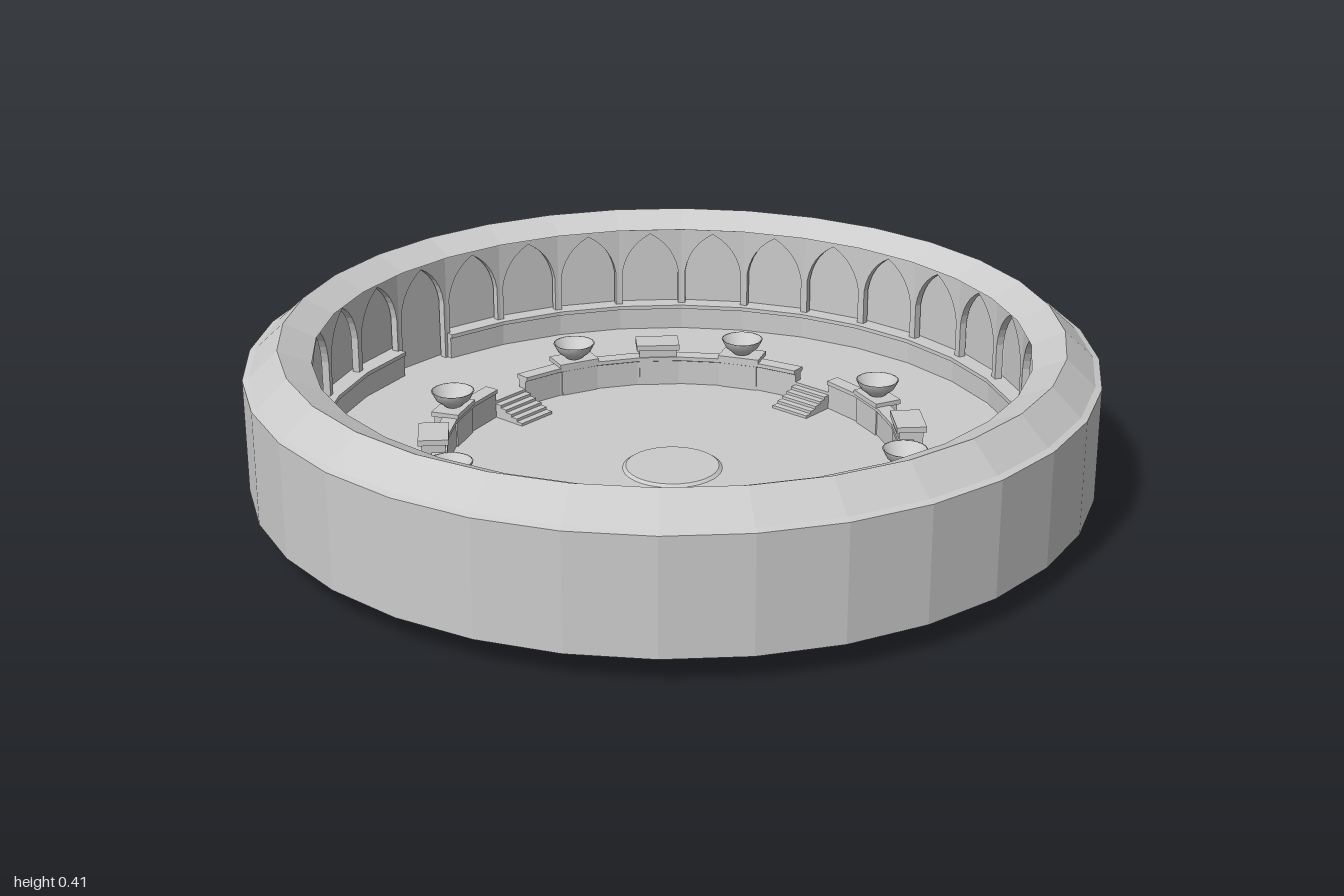
import * as THREE from 'three';

const SIDES = 32;
const STEP = (Math.PI * 2) / SIDES;
const flat = new THREE.MeshStandardMaterial({ color: 0xcccccc, flatShading: true });
const flatBoth = new THREE.MeshStandardMaterial({ color: 0xcccccc, flatShading: true, side: THREE.DoubleSide });
const smooth = new THREE.MeshStandardMaterial({ color: 0xcccccc });

const points = (list) => list.map(([r, y]) => new THREE.Vector2(r, y));

function add(parent, name, geometry, material = flat) {
  const mesh = new THREE.Mesh(geometry, material);
  mesh.name = name;
  parent.add(mesh);
  return mesh;
}

// Capped ring sector: closed counterclockwise (radius, height) section swept over some sides
function ringSector(parent, name, section, firstSide, sides) {
  const group = new THREE.Group();
  group.name = name;
  const start = firstSide * STEP;
  add(group, name + 'Body', new THREE.LatheGeometry(points([...section, section[0]]), sides, start, sides * STEP));
  for (const angle of [start, start + sides * STEP]) {
    const cap = add(group, name + 'End', new THREE.ShapeGeometry(new THREE.Shape(points(section))), flatBoth);
    cap.rotation.y = angle - Math.PI / 2;
  }
  parent.add(group);
}

// Group at an angle around the centre; its local +z points outwards
function spoke(parent, name, angle) {
  const group = new THREE.Group();
  group.name = name;
  group.rotation.y = angle;
  parent.add(group);
  return group;
}

function box(parent, name, w, h, d, y, z) {
  const mesh = add(parent, name, new THREE.BoxGeometry(w, h, d));
  mesh.position.set(0, y + h / 2, z);
}

// One wall panel with a pointed arch cut out, open at the bottom
function archPanel(bottom) {
  const r = 0.858, top = 0.374, spring = 0.25, apex = 0.357;
  const w = r * Math.sin(STEP / 2), a = w - 0.009;
  const s = new THREE.Shape();
  s.moveTo(-w, bottom);
  s.lineTo(-a, bottom);
  s.lineTo(-a, spring);
  s.quadraticCurveTo(-a * 0.85, apex - 0.035, 0, apex);
  s.quadraticCurveTo(a * 0.85, apex - 0.035, a, spring);
  s.lineTo(a, bottom);
  s.lineTo(w, bottom);
  s.lineTo(w, top);
  s.lineTo(-w, top);
  const g = new THREE.ExtrudeGeometry(s, { depth: 0.018, bevelEnabled: false, curveSegments: 6 });
  return g.translate(0, 0, r * Math.cos(STEP / 2));
}

export function createModel() {
  const model = new THREE.Group();
  model.name = 'arena';

  // Base, outer wall, sloped rim, terrace and sunken floor in one section
  add(model, 'arenaShell', new THREE.LatheGeometry(points([
    [0, 0.045], [0.54, 0.045], [0.54, 0.088], [0.57, 0.088], [0.57, 0.065],
    [0.84, 0.065], [0.84, 0.088], [0.87, 0.088], [0.87, 0.065],
    [1, 0.065], [1, 0.34], [0.985, 0.345], [0.917, 0.408], [0.84, 0.373],
    [0.885, 0.373], [0.885, 0.093], [0.545, 0.093], [0.545, 0.05], [0, 0.05],
  ]), SIDES));

  // Arcade around the inner wall; the two doorways reach the terrace
  const doors = [8, 24];
  const panel = archPanel(0.158), doorPanel = archPanel(0.093);
  for (let i = 0; i < SIDES; i++) {
    const bay = spoke(model, 'arcadeBay', (i + 0.5) * STEP);
    add(bay, 'archPanel', doors.includes(i) ? doorPanel : panel);
  }

  // Ledge below the arcade, broken at the doorways
  const ledge = [[0.845, 0.09], [0.886, 0.09], [0.886, 0.16], [0.838, 0.16], [0.838, 0.15], [0.845, 0.15]];
  const filler = [[0.838, 0.065], [0.872, 0.065], [0.872, 0.09], [0.838, 0.09]];
  for (const door of doors) {
    ringSector(model, 'ledge', ledge, door + 1, SIDES / 2 - 1);
    ringSector(model, 'doorSill', filler, door, 1);
  }

  // Fire bowl profile, hollow on top
  const bowl = new THREE.LatheGeometry(points([
    [0, 0.134], [0.02, 0.136], [0.026, 0.142], [0.042, 0.155], [0.053, 0.176],
    [0.049, 0.176], [0.039, 0.16], [0.022, 0.15], [0, 0.147],
  ]), 20);

  const parapet = [[0.543, 0.048], [0.568, 0.048], [0.568, 0.113], [0.575, 0.116], [0.575, 0.126],
    [0.537, 0.126], [0.537, 0.116], [0.543, 0.113]];

  for (let q = 0; q < 4; q++) {
    const first = q * SIDES / 4;
    const stairAngle = (first + 0.5) * STEP;

    // Parapet from one stair opening to the next
    ringSector(model, 'parapet', parapet, first + 1, SIDES / 4 - 1);

    // Stairs down to the sunken floor
    const stairs = spoke(model, 'stairs', stairAngle);
    const count = 6, tread = 0.11 / count, rise = 0.043 / count;
    for (let i = 0; i < count; i++) {
      box(stairs, 'step', 0.108, rise * (i + 1), tread, 0.05, 0.45 + tread * (i + 0.5));
    }

    // Bowls on pedestals either side of the stairs
    for (const side of [-2, 2]) {
      const stand = spoke(model, 'bowlStand', stairAngle + side * STEP);
      box(stand, 'pedestal', 0.095, 0.075, 0.06, 0.05, 0.567);
      box(stand, 'pedestalCap', 0.108, 0.012, 0.07, 0.124, 0.567);
      add(stand, 'fireBowl', bowl, smooth).position.z = 0.567;
    }

    // Block midway along the parapet
    const block = spoke(model, 'parapetBlock', stairAngle + 4 * STEP);
    box(block, 'blockBody', 0.095, 0.096, 0.058, 0.05, 0.567);
    box(block, 'blockCap', 0.11, 0.014, 0.072, 0.146, 0.567);

    // Feet forming a cross under the base
    const foot = spoke(model, 'foot', q * Math.PI / 2);
    box(foot, 'footBlock', 0.056, 0.046, 0.17, 0, 0.21);
  }

  // Low disc in the middle of the floor
  add(model, 'centreDisc', new THREE.CylinderGeometry(0.112, 0.12, 0.006, 32).translate(0, 0.053, 0));

  return model;
}
